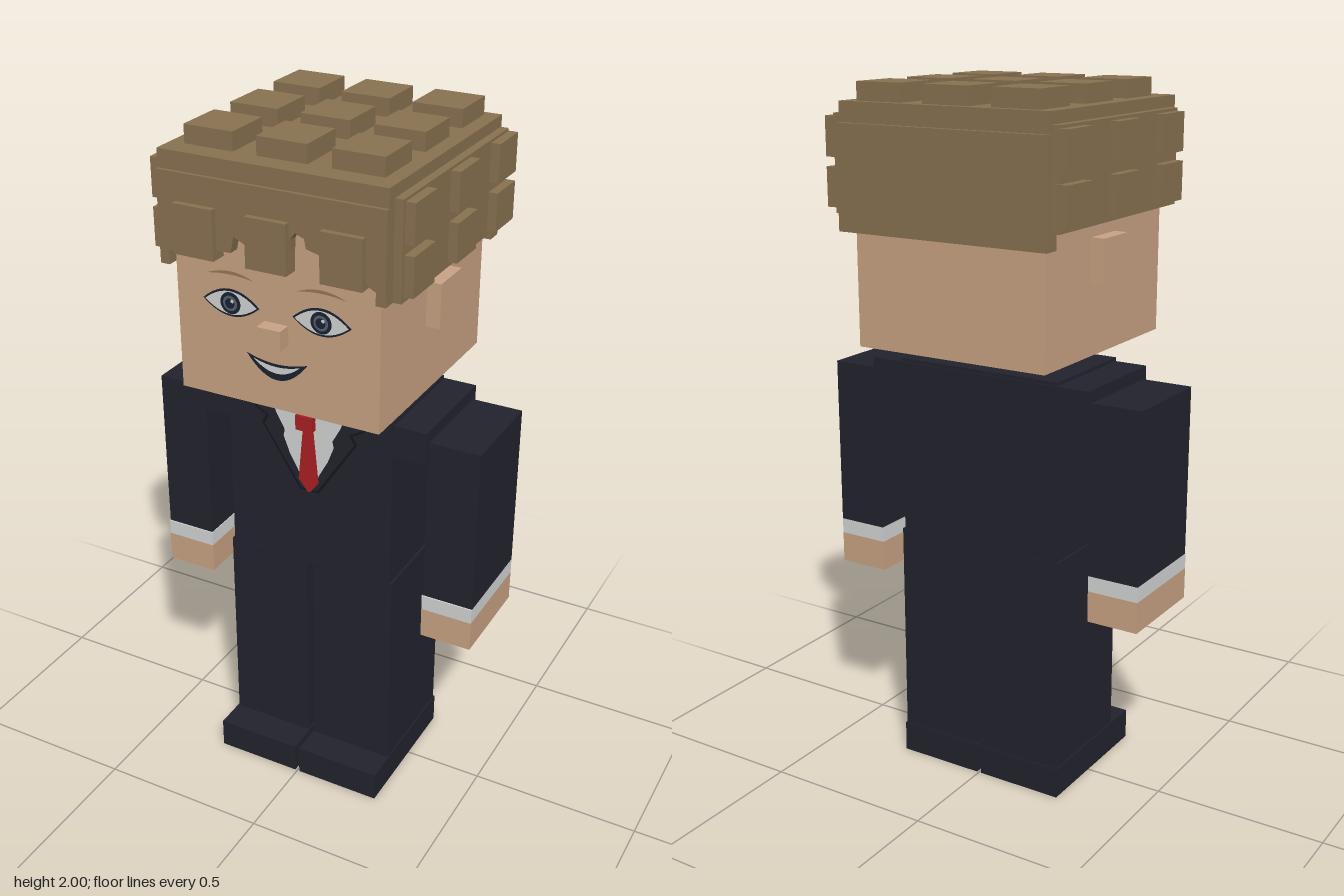
import * as THREE from 'three';

const mat = (name, color) => {
  const m = new THREE.MeshStandardMaterial({ color });
  m.name = name;
  return m;
};

export function createModel() {
  const model = new THREE.Group();
  model.name = 'blockFigure';

  const skin = mat('skin', 0xc8a283);
  const hair = mat('hair', 0x887150);
  const suit = mat('suit', 0x22222d);
  const seam = mat('lapelShade', 0x15151c);
  const white = mat('shirtWhite', 0xd2d4d4);
  const red = mat('tieRed', 0xa82024);
  const dark = mat('featureDark', 0x1b2230);
  const iris = mat('iris', 0x55606e);
  const brow = mat('brow', 0x9a7750);

  const group = (name) => {
    const g = new THREE.Group();
    g.name = name;
    model.add(g);
    return g;
  };
  // Box given by its limits on each axis
  const box = (parent, name, m, x0, x1, y0, y1, z0, z1) => {
    const mesh = new THREE.Mesh(new THREE.BoxGeometry(x1 - x0, y1 - y0, z1 - z0), m);
    mesh.position.set((x0 + x1) / 2, (y0 + y1) / 2, (z0 + z1) / 2);
    mesh.name = name;
    parent.add(mesh);
  };
  // Flat painted detail facing +z
  const decal = (parent, name, m, shape, z) => {
    const mesh = new THREE.Mesh(new THREE.ShapeGeometry(shape, 16), m);
    mesh.position.z = z;
    mesh.name = name;
    parent.add(mesh);
  };
  const poly = (pts) => new THREE.Shape(pts.map(([x, y]) => new THREE.Vector2(x, y)));
  const mirrored = (pts) => [...pts, ...pts.map(([x, y]) => [-x, y]).reverse()];
  const disc = (x, y, r) => new THREE.Shape().absarc(x, y, r, 0, Math.PI * 2);
  // Crescent or lens between two curves sharing their end points
  const lens = (x0, x1, y, up, down) => {
    const s = new THREE.Shape();
    const c = (x0 + x1) / 2;
    s.moveTo(x0, y);
    s.quadraticCurveTo(c, y + 2 * down, x1, y);
    s.quadraticCurveTo(c, y + 2 * up, x0, y);
    return s;
  };

  // Head and neck
  const head = group('head');
  box(head, 'skull', skin, -0.295, 0.295, 1.29, 1.91, -0.317, 0.307);
  box(head, 'neck', skin, -0.085, 0.085, 1.22, 1.3, -0.11, 0.07);
  box(head, 'nose', skin, -0.034, 0.034, 1.48, 1.535, 0.3, 0.349);
  box(head, 'leftEar', skin, 0.29, 0.335, 1.485, 1.61, -0.085, 0.042);
  box(head, 'rightEar', skin, -0.335, -0.29, 1.485, 1.61, -0.085, 0.042);

  // Painted face
  const face = group('face');
  for (const s of [-1, 1]) {
    const x = s * 0.132;
    decal(face, 'eyeOutline', dark, lens(x - 0.084, x + 0.084, 1.565, 0.039, -0.037), 0.309);
    decal(face, 'eyeWhite', white, lens(x - 0.077, x + 0.077, 1.565, 0.033, -0.031), 0.311);
    decal(face, 'irisRing', dark, disc(x, 1.566, 0.03), 0.313);
    decal(face, 'irisCentre', iris, disc(x, 1.566, 0.021), 0.3145);
    decal(face, 'pupil', dark, disc(x, 1.566, 0.014), 0.316);
    decal(face, 'glint', white, disc(x + 0.008, 1.574, 0.005), 0.3175);
    decal(face, 'eyebrow', brow, lens(x - 0.07, x + 0.07, 1.636, 0.016, 0.007), 0.309);
  }
  decal(face, 'mouth', dark, lens(-0.09, 0.09, 1.437, -0.016, -0.062), 0.309);
  decal(face, 'teeth', white, lens(-0.07, 0.07, 1.427, -0.013, -0.032), 0.311);

  // Hair: cap, back, sides and a ragged fringe
  const hairdo = group('hair');
  box(hairdo, 'cap', hair, -0.322, 0.322, 1.88, 1.95, -0.342, 0.328);
  box(hairdo, 'backPanel', hair, -0.322, 0.322, 1.61, 1.895, -0.357, -0.31);
  for (const s of [-1, 1]) {
    const [a, b] = s > 0 ? [0.29, 0.345] : [-0.345, -0.29];
    box(hairdo, 'sidePanel', hair, a, b, 1.655, 1.918, -0.337, 0.3);
  }
  const fringe = new THREE.ExtrudeGeometry(poly([
    [-0.322, 1.9], [-0.322, 1.65], [-0.295, 1.65], [-0.295, 1.69], [-0.15, 1.69],
    [-0.15, 1.715], [-0.11, 1.715], [-0.1, 1.76], [-0.06, 1.74], [-0.055, 1.71],
    [0.055, 1.71], [0.06, 1.78], [0.075, 1.8], [0.1, 1.79], [0.105, 1.765],
    [0.145, 1.755], [0.155, 1.72], [0.265, 1.72], [0.275, 1.7], [0.295, 1.69],
    [0.295, 1.655], [0.322, 1.655], [0.322, 1.9],
  ]), { depth: 0.038, bevelEnabled: false });
  const fringeMesh = new THREE.Mesh(fringe, hair);
  fringeMesh.position.z = 0.3;
  fringeMesh.name = 'fringe';
  hairdo.add(fringeMesh);

  // Raised hair tufts on the top, front and sides
  for (const x of [-0.209, 0, 0.209]) {
    for (const z of [-0.248, -0.025, 0.195]) {
      box(hairdo, 'topTuft', hair, x - 0.071, x + 0.071, 1.94, 2, z - 0.071, z + 0.071);
    }
    box(hairdo, 'frontTuft', hair, x - 0.058, x + 0.058, 1.69, 1.825, 0.31, 0.355);
  }
  for (const s of [-1, 1]) {
    const [a, b] = s > 0 ? [0.33, 0.371] : [-0.371, -0.33];
    for (const z of [-0.28, -0.027, 0.229]) {
      for (const y of [1.67, 1.803]) {
        box(hairdo, 'sideTuft', hair, a, b, y, y + 0.107, z - 0.06, z + 0.06);
      }
    }
  }

  // Jacket
  const body = group('jacket');
  box(body, 'torso', suit, -0.255, 0.255, 0.71, 1.235, -0.183, 0.143);
  box(body, 'shoulders', suit, -0.352, 0.352, 1.13, 1.225, -0.187, 0.139);

  // Shirt front, lapels and tie
  const z = 0.143;
  decal(body, 'lapelEdge', seam, poly(mirrored([
    [-0.165, 1.235], [-0.172, 1.185], [-0.135, 1.165], [-0.15, 1.14], [-0.03, 0.955],
  ])), z + 0.0015);
  decal(body, 'lapels', suit, poly(mirrored([
    [-0.157, 1.235], [-0.163, 1.188], [-0.125, 1.167], [-0.141, 1.139], [-0.025, 0.962],
  ])), z + 0.003);
  decal(body, 'shirtFront', white, poly(mirrored([
    [-0.12, 1.235], [-0.1, 1.18], [-0.075, 1.135], [-0.079, 1.115], [-0.06, 1.065],
    [-0.035, 1.02], [-0.01, 0.965],
  ])), z + 0.0045);
  decal(body, 'tie', red, poly(mirrored([
    [-0.026, 1.205], [-0.017, 1.15], [-0.032, 0.99], [-0.004, 0.955],
  ])), z + 0.006);
  box(body, 'tieKnot', red, -0.026, 0.026, 1.16, 1.205, 0.155, 0.174);

  // Arms, legs and shoes
  for (const s of [-1, 1]) {
    const side = s > 0 ? 'left' : 'right';
    const limb = (parent, name, m, a, b, ...rest) =>
      box(parent, name, m, s > 0 ? a : -b, s > 0 ? b : -a, ...rest);
    const arm = group(side + 'Arm');
    limb(arm, 'sleeve', suit, 0.35, 0.5, 0.7, 1.19, -0.168, 0.121);
    limb(arm, 'cuff', white, 0.348, 0.5, 0.655, 0.7, -0.168, 0.125);
    limb(arm, 'hand', skin, 0.348, 0.5, 0.565, 0.655, -0.168, 0.125);
    const leg = group(side + 'Leg');
    limb(leg, 'trouserLeg', suit, 0.011, 0.262, 0.08, 0.722, -0.185, 0.145);
    limb(leg, 'shoe', suit, 0.007, 0.266, 0, 0.09, -0.188, 0.238);
  }

  return model;
}
